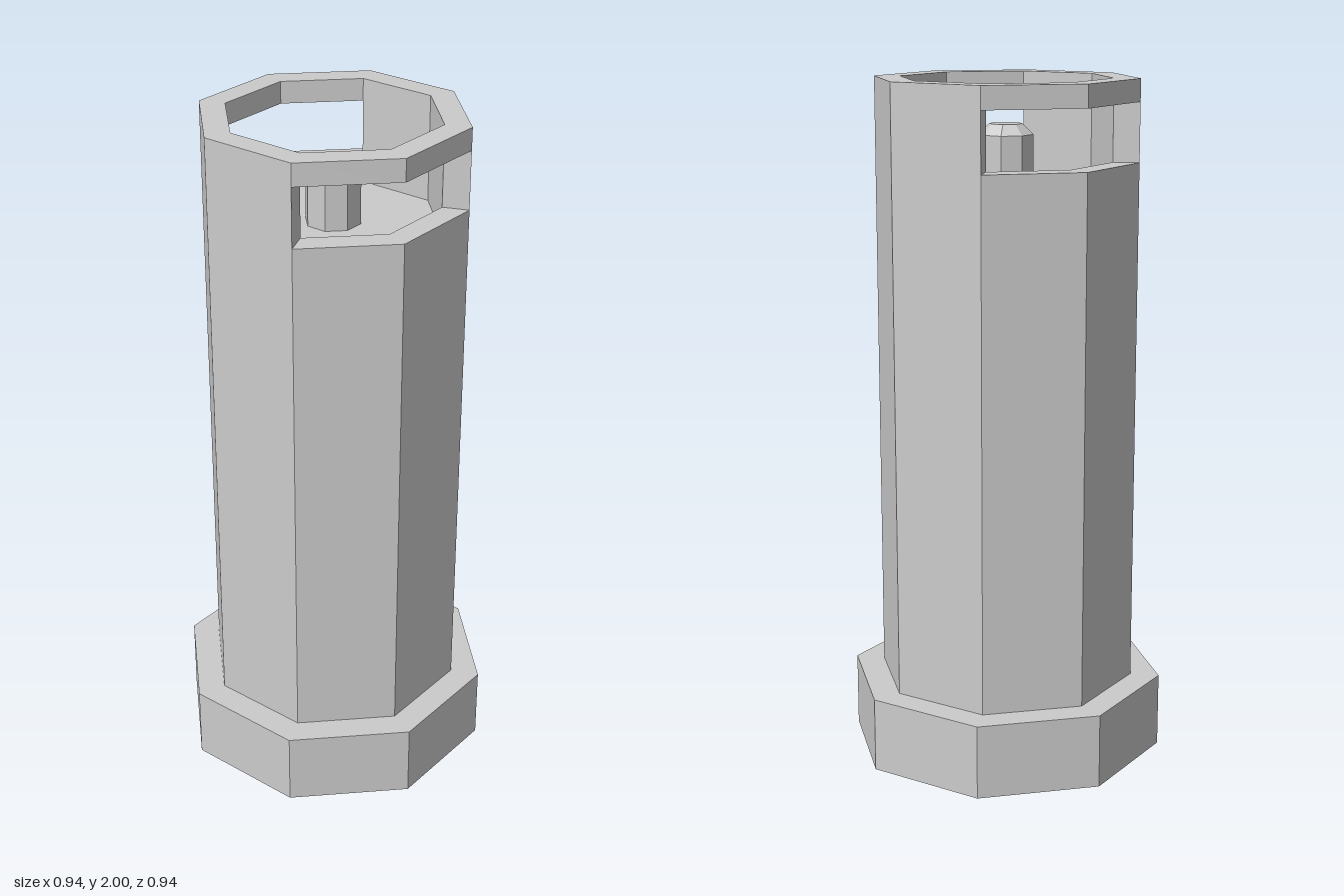
import * as THREE from 'three';

const OUTER = 0.384, INNER = 0.308;
const BASE_TOP = 0.22, FLOOR = 1.69, SILL = 1.765, LINTEL = 1.935, TOP = 2;

export function createModel() {
  const model = new THREE.Group();
  const material = new THREE.MeshStandardMaterial({ color: 0xcccccc, flatShading: true });

  function add(name, geometry, y = 0) {
    const mesh = new THREE.Mesh(geometry, material);
    mesh.name = name;
    mesh.position.y = y;
    model.add(mesh);
    return mesh;
  }

  // Eight-sided solid with corners on the axes
  function octagon(name, topRadius, bottomRadius, y0, y1) {
    return add(name, new THREE.CylinderGeometry(topRadius, bottomRadius, y1 - y0, 8), (y0 + y1) / 2);
  }

  // Quarter of the octagonal tube wall: two faces plus its cut ends
  function wallQuarter(name, quarter, y0, y1) {
    const ring = (radius) => [0, 1, 2].map((i) => {
      const a = (quarter * 2 + i) * Math.PI / 4;
      return new THREE.Vector2(radius * Math.cos(a), radius * Math.sin(a));
    });
    const shape = new THREE.Shape([...ring(OUTER), ...ring(INNER).reverse()]);
    const geometry = new THREE.ExtrudeGeometry(shape, { depth: y1 - y0, bevelEnabled: false });
    geometry.rotateX(-Math.PI / 2);
    add(name, geometry, y0);
  }

  // Foot and the recessed floor inside the tube
  octagon('base', 0.47, 0.47, 0, BASE_TOP);
  octagon('innerFloor', INNER, INNER, BASE_TOP, FLOOR);

  // Solid quarters alternate with quarters that have a window
  for (const quarter of [0, 2]) {
    wallQuarter('solidWall', quarter, BASE_TOP, TOP);
    wallQuarter('wallBelowWindow', quarter + 1, BASE_TOP, SILL);
    wallQuarter('rimAboveWindow', quarter + 1, LINTEL, TOP);
  }

  // Centre post with a chamfered tip
  octagon('post', 0.08, 0.08, FLOOR, 1.84);
  octagon('postTip', 0.048, 0.08, 1.84, 1.87);

  return model;
}
